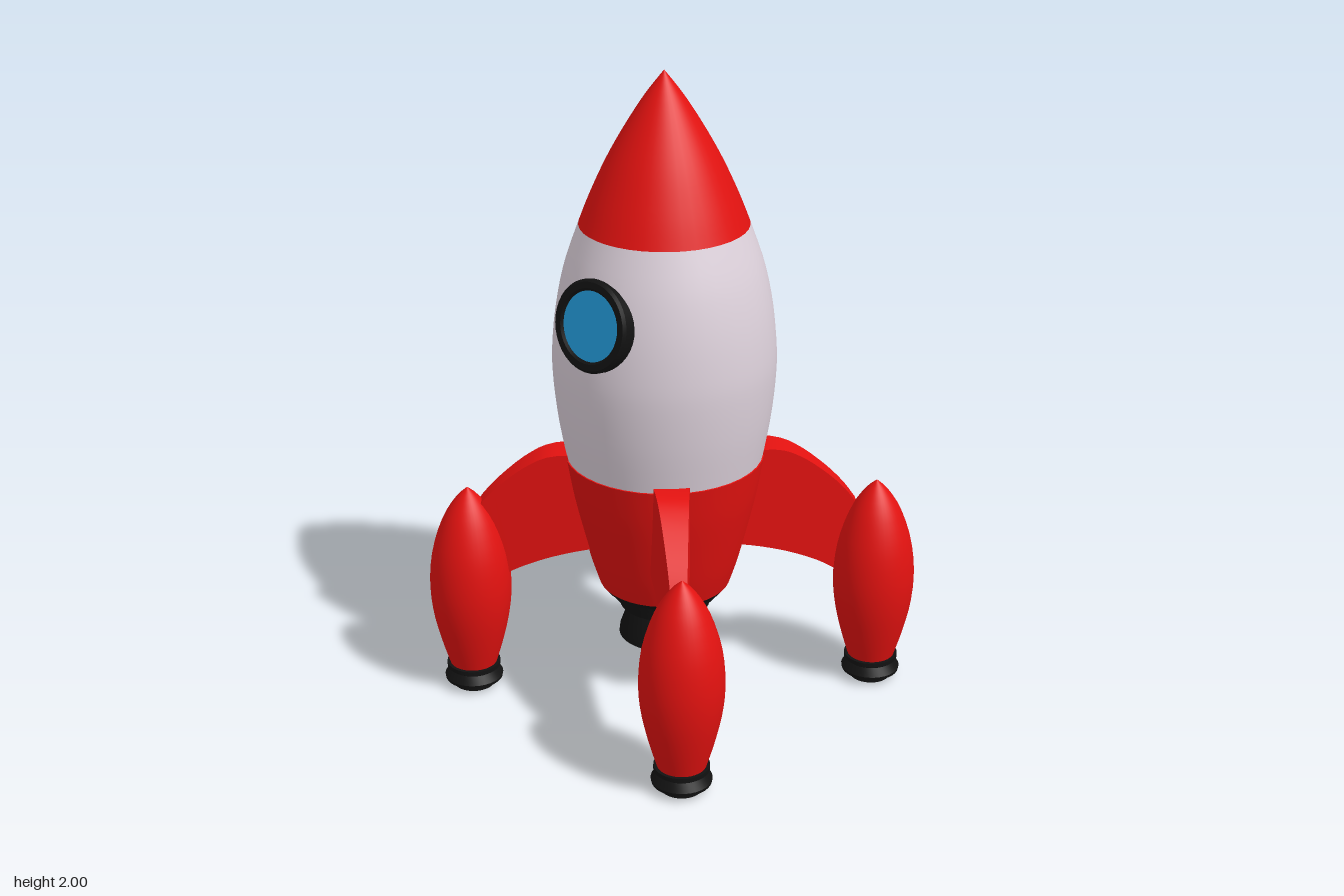
import * as THREE from 'three';
import { toCreasedNormals } from 'three/addons/utils/BufferGeometryUtils.js';

const paint = (color) => new THREE.MeshStandardMaterial({ color });
const red = paint(0xe31210);
const white = paint(0xded2dc);
const black = paint(0x121212);
const blue = paint(0x2299d8);

const toVectors = (pairs) => pairs.map(([x, y]) => new THREE.Vector2(x, y));

function addMesh(parent, name, geometry, material) {
  const mesh = new THREE.Mesh(geometry, material);
  mesh.name = name;
  parent.add(mesh);
  return mesh;
}

// Smooth turned shape through [radius, y] pairs, listed bottom to top
function smoothLathe(pairs, steps = 20) {
  const points = new THREE.SplineCurve(toVectors(pairs)).getPoints(steps);
  points.forEach((p) => { p.x = Math.max(p.x, 0); });
  return new THREE.LatheGeometry(points, 40);
}

// Turned shape with crisp steps
const steppedLathe = (pairs, sides = 40) =>
  toCreasedNormals(new THREE.LatheGeometry(toVectors(pairs), sides), 0.5);

// Curved fin along +x: a box bent between two edge curves and thinned outwards
function finGeometry() {
  const top = new THREE.SplineCurve(toVectors([[0.2, 0.806], [0.34, 0.806], [0.42, 0.775], [0.5, 0.715], [0.56, 0.655], [0.6, 0.6]]));
  const bottom = new THREE.SplineCurve(toVectors([[0.2, 0.495], [0.3, 0.475], [0.4, 0.445], [0.5, 0.4], [0.6, 0.33]]));
  const geometry = new THREE.BoxGeometry(1, 1, 1, 16, 1, 1);
  const pos = geometry.attributes.position;
  for (let i = 0; i < pos.count; i++) {
    const curve = pos.getY(i) > 0 ? top : bottom;
    const p = curve.getPoint(pos.getX(i) + 0.5);
    const halfWidth = THREE.MathUtils.mapLinear(p.x, 0.32, 0.6, 0.052, 0.024);
    pos.setXYZ(i, p.x, p.y, Math.sign(pos.getZ(i)) * halfWidth);
  }
  geometry.computeVertexNormals();
  return geometry;
}

export function createModel() {
  const model = new THREE.Group();
  model.name = 'rocket';

  // Central hull
  const hull = new THREE.Group();
  hull.name = 'hull';
  hull.position.x = -0.033;
  model.add(hull);

  addMesh(hull, 'noseCone', smoothLathe([
    [0.255, 1.535], [0.222, 1.62], [0.172, 1.73], [0.117, 1.83], [0.057, 1.925], [0, 2],
  ]), red);
  addMesh(hull, 'body', smoothLathe([
    [0.303, 0.79], [0.325, 0.92], [0.338, 1.05], [0.339, 1.15], [0.326, 1.28], [0.298, 1.41], [0.255, 1.535],
  ]), white);
  addMesh(hull, 'lowerBody', smoothLathe([
    [0.205, 0.355], [0.232, 0.44], [0.26, 0.55], [0.287, 0.67], [0.307, 0.79],
  ]), red);
  addMesh(hull, 'lowerBodyLip', steppedLathe([[0.307, 0.79], [0.29, 0.793]]), red);

  // Main engine bell with a shallow hollow underneath
  addMesh(hull, 'mainEngine', steppedLathe([
    [0, 0.215], [0.1, 0.215], [0.128, 0.163], [0.145, 0.163], [0.142, 0.185], [0.115, 0.262],
    [0.142, 0.27], [0.146, 0.305], [0.168, 0.31], [0.172, 0.335], [0.192, 0.338], [0.203, 0.36], [0, 0.36],
  ]), black);

  // Porthole, tilted back to follow the hull
  const porthole = new THREE.Group();
  porthole.name = 'porthole';
  porthole.position.set(0, 1.305, 0.334);
  porthole.rotation.x = Math.PI / 2 - 0.19;
  hull.add(porthole);
  addMesh(porthole, 'portholeFrame', steppedLathe([
    [0.139, -0.08], [0.139, -0.008], [0.131, 0], [0.112, 0], [0.105, -0.006], [0.105, -0.03],
  ]), black);
  const glass = addMesh(porthole, 'portholeGlass', new THREE.CircleGeometry(0.107, 40), blue);
  glass.rotation.x = -Math.PI / 2;
  glass.position.y = -0.007;

  // Four fins, each carrying a landing pod
  const fin = finGeometry();
  const pod = smoothLathe([
    [0.074, 0.08], [0.1, 0.17], [0.121, 0.27], [0.127, 0.37], [0.114, 0.48], [0.079, 0.585], [0.036, 0.655], [0, 0.69],
  ]);
  const foot = steppedLathe([
    [0, 0], [0.064, 0], [0.066, 0.022], [0.09, 0.024], [0.092, 0.034], [0.076, 0.06], [0.084, 0.066], [0.084, 0.08], [0, 0.082],
  ], 32);
  for (let i = 0; i < 4; i++) {
    const turn = (i * Math.PI) / 2;
    const finMesh = addMesh(hull, 'fin', fin, red);
    finMesh.rotation.y = turn + Math.PI / 4;

    const leg = new THREE.Group();
    leg.name = 'landingPod';
    const angle = turn + Math.PI / 4 - 0.03;
    leg.position.set(0.634 * Math.cos(angle), 0, -0.634 * Math.sin(angle));
    addMesh(leg, 'podShell', pod, red);
    addMesh(leg, 'podFoot', foot, black);
    model.add(leg);
  }
  return model;
}
